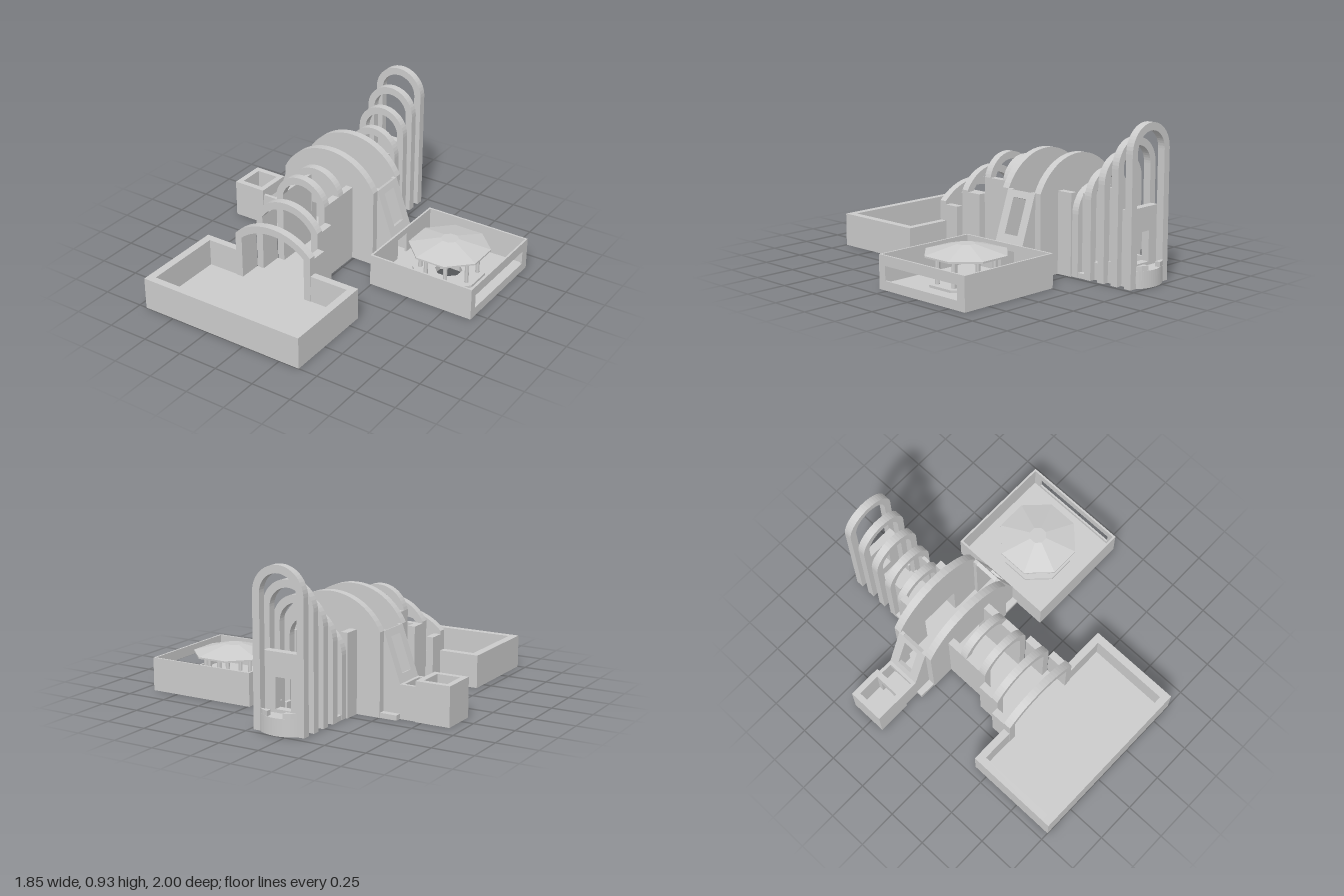
import * as THREE from 'three';

const CX = -0.185; // axis of the nave
const CZ = -0.275; // axis of the transept
const FLOOR = 0.03;

export function createModel() {
  const model = new THREE.Group();
  const mat = new THREE.MeshStandardMaterial({ color: 0xcccccc, flatShading: true });

  function add(name, geo, parent = model) {
    const mesh = new THREE.Mesh(geo, mat);
    mesh.name = name;
    parent.add(mesh);
    return mesh;
  }
  // box given by its extents
  function box(name, x0, x1, y0, y1, z0, z1, parent) {
    const geo = new THREE.BoxGeometry(x1 - x0, y1 - y0, z1 - z0);
    geo.translate((x0 + x1) / 2, (y0 + y1) / 2, (z0 + z1) / 2);
    return add(name, geo, parent);
  }
  function extrude(shape, depth) {
    return new THREE.ExtrudeGeometry(shape, { depth, bevelEnabled: false });
  }
  const shapeOf = (pts) => new THREE.Shape(pts.map(([x, y]) => new THREE.Vector2(x, y)));

  // arc points from right to left
  function arc(hw, R, cy, n = 24) {
    const a = Math.asin(Math.min(1, hw / R));
    return Array.from({ length: n + 1 }, (_, i) => {
      const t = a - (2 * a * i) / n;
      return [R * Math.sin(t), cy + R * Math.cos(t)];
    });
  }
  // arched rib with legs; z is its back face
  function rib(name, hw, spring, top, z, t = 0.045) {
    const rise = top - spring;
    const R = (hw * hw + rise * rise) / (2 * rise);
    const inner = arc(hw - t, R - t, top - R).reverse();
    const shape = shapeOf([
      [hw, 0], ...arc(hw, R, top - R), [-hw, 0],
      [t - hw, 0], ...inner, [hw - t, 0],
    ]);
    add(name, extrude(shape, 0.047), model).position.set(CX, 0, z);
  }
  // arched screen wall with a doorway
  function screen(name, hw, spring, top, z) {
    const rise = top - spring;
    const R = (hw * hw + rise * rise) / (2 * rise);
    const shape = shapeOf([
      [0.125, 0], [hw, 0], ...arc(hw, R, top - R), [-hw, 0],
      [-0.125, 0], [-0.125, 0.3], [0.125, 0.3],
    ]);
    add(name, extrude(shape, 0.047), model).position.set(CX, 0, z);
  }
  // pair of side walls and the floor between two ribs
  function bay(name, hw, h, z0, z1, t = 0.045) {
    for (const s of [-1, 1]) {
      const a = CX + s * hw, b = CX + s * (hw - t);
      box(name + 'Wall', Math.min(a, b), Math.max(a, b), 0, h, z0, z1);
    }
  }

  // forecourt, open towards the nave
  box('forecourtFloor', -0.7, 0.38, 0, FLOOR, 0.41, 1);
  box('forecourtFrontWall', -0.7, 0.38, 0, 0.2, 0.955, 1);
  box('forecourtSideWall', -0.7, -0.652, 0, 0.2, 0.41, 0.955);
  box('forecourtSideWall', 0.332, 0.38, 0, 0.2, 0.41, 0.955);
  box('forecourtBackWall', -0.652, CX - 0.25, 0, 0.2, 0.41, 0.455);
  box('forecourtBackWall', CX + 0.25, 0.332, 0, 0.2, 0.41, 0.455);

  // nave, stepping up towards the crossing
  rib('entranceArch', 0.267, 0.32, 0.43, 0.412);
  bay('entranceBay', 0.267, 0.3, 0.315, 0.412);
  rib('secondArch', 0.22, 0.4, 0.53, 0.268);
  bay('secondBay', 0.22, 0.39, 0.17, 0.268);
  rib('naveArch', 0.172, 0.49, 0.63, 0.123);
  bay('naveBay', 0.172, 0.49, 0.02, 0.123);
  rib('naveArch', 0.172, 0.49, 0.63, -0.027);
  bay('naveBay', 0.172, 0.49, -0.125, -0.027);
  box('naveFloor', CX - 0.26, CX + 0.26, 0, FLOOR, 0.315, 0.412);
  box('naveFloor', CX - 0.215, CX + 0.215, 0, FLOOR, 0.17, 0.315);
  box('naveFloor', CX - 0.165, CX + 0.165, 0, FLOOR, -0.13, 0.17);

  // crossing
  screen('crossingScreen', 0.32, 0.49, 0.69, -0.172);
  screen('crossingScreen', 0.32, 0.49, 0.69, -0.422);
  box('crossingFloor', CX - 0.425, CX + 0.425, 0, FLOOR, -0.42, -0.13);

  // transept arms with sloping windows
  for (const side of [0, 1]) {
    const arm = new THREE.Group();
    arm.name = side ? 'rightTranseptArm' : 'leftTranseptArm';
    const profile = shapeOf([[0.3, 0], [0.425, 0], [0.425, 0.2], [0.322, 0.49], [0.3, 0.49]]);
    for (const z of [-0.106, 0.076]) {
      add('armSideWall', extrude(profile, 0.03), arm).position.z = z;
    }
    const frame = shapeOf([[-0.1, 0], [0.1, 0], [0.1, 0.307], [-0.1, 0.307]]);
    frame.holes.push(shapeOf([[-0.05, 0.05], [0.05, 0.05], [0.05, 0.265], [-0.05, 0.265]]));
    const slope = new THREE.Vector3(-0.103, 0.29, 0).normalize();
    const along = new THREE.Vector3(0, 0, 1);
    const inward = new THREE.Vector3().crossVectors(along, slope);
    const pane = add('slopingWindowFrame', extrude(frame, 0.025), arm);
    pane.quaternion.setFromRotationMatrix(new THREE.Matrix4().makeBasis(along, slope, inward));
    pane.position.set(0.425, 0.2, 0);
    arm.position.set(CX, 0, CZ);
    arm.rotation.y = side * Math.PI;
    model.add(arm);
  }

  // choir, rising towards the back
  bay('choirBay', 0.172, 0.49, -0.522, -0.42);
  rib('choirArch', 0.162, 0.37, 0.53, -0.567);
  bay('choirBay', 0.125, 0.49, -0.615, -0.567, 0.02);
  [0.63, 0.73, 0.83, 0.925].forEach((top, i) => {
    rib('choirArch', 0.162, top - 0.162, top, -0.662 - i * 0.0985);
  });
  bay('choirLowBay', 0.125, 0.1, -0.715, -0.66, 0.02);
  bay('choirLowBay', 0.125, 0.125, -0.815, -0.757, 0.02);
  box('choirFloor', CX - 0.16, CX + 0.16, 0, FLOOR, -0.62, -0.42);
  box('choirFloor', CX - 0.12, CX + 0.12, 0, FLOOR, -0.96, -0.62);

  // end wall with window
  const endWall = shapeOf([[-0.125, 0], [0.125, 0], [0.125, 0.44], [-0.125, 0.44]]);
  endWall.holes.push(shapeOf([[-0.05, 0.12], [0.05, 0.12], [0.05, 0.3], [-0.05, 0.3]]));
  add('endWall', extrude(endWall, 0.05)).position.set(CX, 0, -0.91);

  // shallow curved apse: floor and parapet with a central dip
  const bow = arc(0.118, 0.194, -0.154, 16);
  const apse = (pts, h) => {
    const geo = extrude(shapeOf(pts), h);
    geo.rotateX(-Math.PI / 2);
    geo.translate(CX, 0, -0.96);
    return geo;
  };
  add('apseFloor', apse([[0.118, -0.05], ...bow, [-0.118, -0.05]], 0.1));
  for (const s of [-1, 1]) {
    add('apseParapet', apse([[s * 0.118, -0.002], [s * 0.09, 0.018], [s * 0.05, 0.033],
      [s * 0.05, -0.002]], 0.13));
  }

  // open passage to the small cell
  box('passageFloor', -0.71, -0.61, 0, FLOOR, -0.381, -0.169);
  box('passageWall', -0.71, -0.61, 0, 0.2, -0.381, -0.361);
  box('passageWall', -0.71, -0.61, 0, 0.2, -0.189, -0.169);
  box('passageLintel', -0.63, -0.61, 0.16, 0.2, -0.361, -0.189);

  // small cell
  box('cellFloor', -0.923, -0.71, 0, FLOOR, -0.39, -0.16);
  box('cellOuterWall', -0.923, -0.888, 0, 0.235, -0.39, -0.16);
  box('cellSideWall', -0.888, -0.71, 0, 0.235, -0.39, -0.355);
  box('cellSideWall', -0.888, -0.71, 0, 0.235, -0.195, -0.16);
  box('cellDoorJamb', -0.745, -0.71, 0, 0.235, -0.355, -0.325);
  box('cellDoorJamb', -0.745, -0.71, 0, 0.235, -0.225, -0.195);
  box('cellDoorLintel', -0.745, -0.71, 0.16, 0.235, -0.325, -0.225);

  // square baptistery court
  const BX = 0.58, H = 0.34, T = 0.012;
  const x0 = BX - H, x1 = BX + H + 0.003, z0 = CZ - H, z1 = CZ + H;
  const octagon = (r) => Array.from({ length: 8 }, (_, i) => {
    const a = Math.PI / 8 + (i * Math.PI) / 4;
    return [r * Math.cos(a), r * Math.sin(a)];
  });
  const slab = (outline, h) => {
    const shape = shapeOf(outline);
    shape.holes.push(shapeOf(octagon(0.083)));
    const geo = extrude(shape, h);
    geo.rotateX(-Math.PI / 2);
    geo.translate(BX, 0, CZ);
    return geo;
  };
  add('courtFloor', slab([[-H, -H], [H, -H], [H, H], [-H, H]], FLOOR));
  add('courtStep', slab(octagon(0.22), 0.045));
  box('courtFrontWall', x0, x1, 0, 0.2, z1 - T, z1);
  box('courtBackWall', x0, x1, 0, 0.2, z0, z0 + T);
  // outer wall with a long window
  box('courtWindowSill', x1 - T, x1, 0, 0.055, z0 + T, z1 - T);
  box('courtWindowHead', x1 - T, x1, 0.14, 0.2, z0 + T, z1 - T);
  box('courtWindowJamb', x1 - T, x1, 0.055, 0.14, z0 + T, -0.555);
  box('courtWindowJamb', x1 - T, x1, 0.055, 0.14, 0.015, z1 - T);
  // inner wall with a doorway
  box('courtInnerWall', x0, x0 + T, 0, 0.2, z0 + T, CZ - 0.05);
  box('courtInnerWall', x0, x0 + T, 0, 0.2, CZ + 0.05, z1 - T);
  box('courtDoorLintel', x0, x0 + T, 0.16, 0.2, CZ - 0.05, CZ + 0.05);

  // ring of columns carrying an octagonal roof
  for (const [x, z] of octagon(0.172)) {
    const column = new THREE.CylinderGeometry(0.013, 0.013, 0.205, 8);
    column.translate(BX + x, 0.1025, CZ + z);
    add('courtColumn', column);
  }
  const k = 1 / Math.cos(Math.PI / 8);
  for (const [name, rt, rb, h, y] of [
    ['roofEdge', 0.228, 0.228, 0.01, 0.205],
    ['roof', 0.05, 0.228, 0.05, 0.235],
  ]) {
    const geo = new THREE.CylinderGeometry(rt * k, rb * k, h, 8);
    geo.rotateY(Math.PI / 8);
    geo.translate(BX, y, CZ);
    add(name, geo);
  }

  return model;
}
